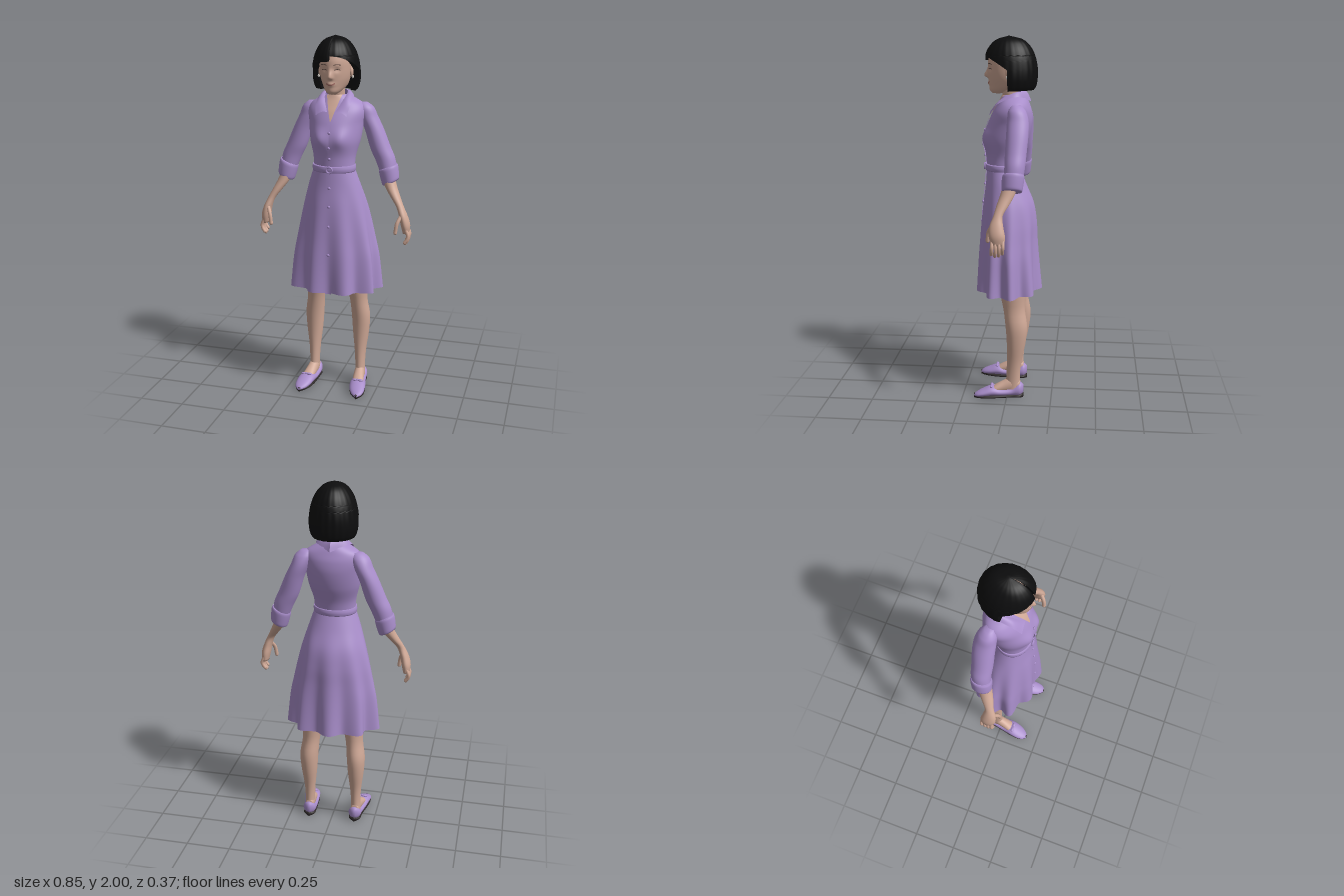
import * as THREE from 'three';
import { mergeGeometries, mergeVertices } from 'three/addons/utils/BufferGeometryUtils.js';

const paint = (name, color, side = THREE.FrontSide) => {
  const m = new THREE.MeshStandardMaterial({ color, side });
  m.name = name;
  return m;
};

// Smooth grid surface from f(u, v) -> [x, y, z]
function surface(nu, nv, f) {
  const pos = [], idx = [], w = nu + 1;
  for (let j = 0; j <= nv; j++) for (let i = 0; i <= nu; i++) pos.push(...f(i / nu, j / nv));
  for (let j = 0; j < nv; j++) for (let i = 0; i < nu; i++) {
    const a = j * w + i;
    idx.push(a, a + 1, a + w, a + 1, a + w + 1, a + w);
  }
  let g = new THREE.BufferGeometry();
  g.setAttribute('position', new THREE.Float32BufferAttribute(pos, 3));
  g.setIndex(idx);
  g = mergeVertices(g, 1e-5);
  g.computeVertexNormals();
  return g;
}

// Cross-sections are [y, centre x, centre z, half width, front z, back z, tilt], smoothly interpolated
function sample(R, y) {
  let i = 0;
  while (i < R.length - 2 && y > R[i + 1][0]) i++;
  const a = R[i], b = R[i + 1], h = b[0] - a[0];
  const t = Math.min(1, Math.max(0, (y - a[0]) / h)), t2 = t * t, t3 = t2 * t;
  const val = (r, k) => r[k] ?? 0;
  const slope = (n, k) => {
    const p = R[Math.max(0, n - 1)], q = R[Math.min(R.length - 1, n + 1)];
    return (val(q, k) - val(p, k)) / (q[0] - p[0]);
  };
  return [0, 1, 2, 3, 4, 5, 6].map(k => (2 * t3 - 3 * t2 + 1) * val(a, k) + (3 * t2 - 2 * t3) * val(b, k)
    + h * ((t3 - 2 * t2 + t) * slope(i, k) + (t3 - t2) * slope(i + 1, k)));
}
function ringPoint(R, y, ang, k = 1) {
  const [, cx, cz, rx, zf, zb, tilt] = sample(R, y), s = Math.sin(ang), c = Math.cos(ang);
  return [cx + k * rx * s, y + tilt * rx * s * k, cz + k * c * (c > 0 ? zf - cz : cz - zb)];
}
function loft(R, { nu = 32, nv = 32, capped = true, point = (y, a) => ringPoint(R, y, a) } = {}) {
  const y0 = R[0][0], y1 = R[R.length - 1][0];
  return surface(nu, nv + 2, (u, v) => {
    const j = Math.round(v * (nv + 2));
    const y = y0 + (y1 - y0) * Math.min(1, Math.max(0, (j - 1) / nv));
    return capped && (j === 0 || j === nv + 2) ? ringPoint(R, y, 0, 0) : point(y, u * Math.PI * 2);
  });
}
// Loft running along z; rows are [z, centre x, half width, bottom, top]
const loftZ = rows => loft(rows.map(([z, cx, hw, b, t]) => [z, cx, -(b + t) / 2, hw, -b, -t])).rotateX(Math.PI / 2);

// Thin patch lying on the front of a lofted surface
function patch(R, point, y0, y1, xa, xb, off = 0.003, bow = 0) {
  return surface(10, 24, (u, v) => {
    const y = y0 + (y1 - y0) * v + bow * 4 * u * (1 - u);
    const x = xa(v) + (xb(v) - xa(v)) * u;
    const p = point(y, Math.asin(Math.max(-1, Math.min(1, x / sample(R, y)[3]))));
    return [p[0], p[1], p[2] + off];
  });
}
function mirrored(g) {
  const m = g.clone().scale(-1, 1, 1), a = m.index.array;
  for (let i = 0; i < a.length; i += 3) [a[i], a[i + 1]] = [a[i + 1], a[i]];
  return m;
}
function tube(points, r) {
  const path = new THREE.CatmullRomCurve3(points.map(p => new THREE.Vector3(...p)));
  const ball = q => new THREE.SphereGeometry(r, 10, 8).translate(...q);
  return mergeGeometries([new THREE.TubeGeometry(path, 10, r, 10), ball(points[0]), ball(points[points.length - 1])]);
}
const blob = (x, y, z, sx, sy, sz) => new THREE.SphereGeometry(1, 16, 12).scale(sx, sy, sz).translate(x, y, z);
const bump = (d, w) => Math.exp(-((d / w) ** 2));

export function createModel() {
  const model = new THREE.Group();
  const dress = paint('lilac cloth', 0xa98ecb, THREE.DoubleSide), skin = paint('skin', 0xcfa896, THREE.DoubleSide);
  const hairMat = paint('black hair', 0x0d0d0e, THREE.DoubleSide), soleMat = paint('dark sole', 0x2f2a2a);
  const lipMat = paint('lips', 0xa9736a, THREE.DoubleSide), lashMat = paint('lashes', 0x5a4640, THREE.DoubleSide);
  const pearl = paint('earring', 0xd6d2cc);
  const add = (name, g, m) => {
    const mesh = new THREE.Mesh(g, m);
    mesh.name = name;
    model.add(mesh);
  };
  const pair = (name, g, m) => { add('left ' + name, g, m); add('right ' + name, mirrored(g), m); };

  // Bodice
  const torso = [[1.28, 0, 0.03, 0.112, 0.12, -0.06], [1.36, 0, 0.02, 0.116, 0.125, -0.075],
    [1.45, 0, 0, 0.138, 0.136, -0.108], [1.54, 0, -0.02, 0.15, 0.112, -0.126], [1.6, 0, -0.03, 0.158, 0.085, -0.124],
    [1.64, 0, -0.04, 0.142, 0.06, -0.112], [1.67, 0, -0.035, 0.095, 0.042, -0.1], [1.69, 0, -0.03, 0.056, 0.033, -0.085]];
  const torsoPoint = (y, a) => {
    const p = ringPoint(torso, y, a);
    if (Math.cos(a) > 0) p[2] += 0.017 * bump(y - 1.465, 0.05) * bump(Math.abs(p[0]) - 0.062, 0.04);
    return p;
  };
  add('bodice', loft(torso, { nu: 64, nv: 48, capped: false, point: torsoPoint }), dress);
  add('neckline skin', patch(torso, torsoPoint, 1.55, 1.69, v => -0.042 * v, v => 0.042 * v, 0.004), skin);
  add('bodice placket', patch(torso, torsoPoint, 1.29, 1.56, () => -0.016, () => 0.016, 0.005), dress);

  // Shirt collar, one half spread between its neck edge and outer edge
  const curve = pts => new THREE.CatmullRomCurve3(pts.map(p => new THREE.Vector3(...p)));
  const inner = curve([[0.022, 1.605, 0.092], [0.05, 1.665, 0.035], [0.055, 1.705, -0.04], [0, 1.712, -0.088]]);
  const outer = curve([[0.085, 1.585, 0.098], [0.095, 1.647, 0.05], [0.086, 1.683, -0.05], [0, 1.655, -0.12]]);
  pair('collar', surface(30, 8, (u, v) => {
    const p = inner.getPoint(u).lerp(outer.getPoint(u), 1 - v);
    return [p.x, p.y + 0.01 * Math.sin(Math.PI * v), p.z];
  }), dress);

  // Pleated skirt
  const skirt = [[0.61, 0, 0, 0.247, 0.166, -0.17], [0.8, 0, 0, 0.234, 0.16, -0.158], [0.9, 0, 0, 0.217, 0.155, -0.153],
    [1, 0, 0, 0.198, 0.149, -0.15], [1.1, 0, 0.005, 0.175, 0.14, -0.135], [1.2, 0, 0.02, 0.145, 0.127, -0.095],
    [1.295, 0, 0.03, 0.113, 0.12, -0.06]];
  const skirtPoint = (y, a) => {
    const k = 0.1 * Math.max(0, (1.22 - y) / 0.61) ** 1.2;
    return ringPoint(skirt, y, a, 1 - k * Math.cos(9 * a));
  };
  add('skirt', loft(skirt, { nu: 144, nv: 36, capped: false, point: skirtPoint }), dress);
  add('skirt placket', patch(skirt, skirtPoint, 0.605, 1.29, () => -0.018, () => 0.018, 0.006), dress);
  for (const y of [1.5, 1.42, 1.36, 1.2, 1.1, 0.99, 0.83]) {
    const z = (y > 1.29 ? torsoPoint : skirtPoint)(y, 0)[2];
    add('button', blob(0, y, z + 0.007, 0.008, 0.008, 0.005), dress);
  }

  // Belt with buckle
  add('belt', loft([[1.282, 0, 0.03, 0.117, 0.127, -0.067], [1.3, 0, 0.03, 0.12, 0.13, -0.07],
    [1.318, 0, 0.03, 0.117, 0.127, -0.067]], { nu: 48, nv: 6 }), dress);
  add('buckle', new THREE.TorusGeometry(0.016, 0.005, 8, 20).translate(0, 1.3, 0.133), dress);

  // Sleeves, cuffs, forearms and hands
  pair('sleeve', loft([[1.28, 0.284, -0.047, 0.045, 0.003, -0.1, 0.3], [1.34, 0.265, -0.053, 0.052, 0, -0.108, 0.2],
    [1.4, 0.237, -0.056, 0.055, 0, -0.113, 0.1], [1.5, 0.2, -0.06, 0.052, -0.003, -0.12], [1.57, 0.168, -0.058, 0.05, -0.005, -0.118],
    [1.62, 0.148, -0.053, 0.048, -0.01, -0.1], [1.645, 0.137, -0.05, 0.028, -0.03, -0.075]]), dress);
  pair('cuff', loft([[1.215, 0.3, -0.043, 0.042, 0.009, -0.094, 0.45], [1.225, 0.298, -0.043, 0.046, 0.012, -0.098, 0.45],
    [1.29, 0.284, -0.048, 0.051, 0.01, -0.106, 0.4], [1.302, 0.281, -0.049, 0.047, 0.004, -0.102, 0.4]], { nv: 12 }), dress);
  pair('forearm and palm', loft([[0.955, 0.403, 0.022, 0.018, 0.055, -0.013], [1, 0.399, 0.025, 0.025, 0.068, -0.016],
    [1.05, 0.387, 0.03, 0.023, 0.066, -0.006], [1.1, 0.366, 0.024, 0.021, 0.048, -0.001], [1.15, 0.335, 0.005, 0.027, 0.034, -0.03],
    [1.2, 0.306, -0.015, 0.033, 0.018, -0.058], [1.27, 0.28, -0.04, 0.035, 0, -0.08]]), skin);
  for (let i = 0; i < 4; i++) {
    const z = -0.006 + 0.019 * i, drop = [0.012, 0, -0.003, 0.006][i];
    pair('finger', tube([[0.402, 0.985, z], [0.418, 0.945, z], [0.414, 0.918 + drop, z + 0.002], [0.402, 0.9 + drop, z + 0.004]], 0.0092), skin);
  }
  pair('thumb', tube([[0.38, 1.055, 0.05], [0.362, 1.015, 0.073], [0.354, 0.965, 0.079]], 0.0105), skin);

  // Legs and feet
  pair('leg', loft([[0.03, 0.14, -0.035, 0.028, 0.01, -0.078], [0.1, 0.138, -0.036, 0.027, 0.004, -0.073],
    [0.2, 0.137, -0.042, 0.032, 0, -0.08], [0.32, 0.138, -0.048, 0.046, 0, -0.104], [0.42, 0.137, -0.048, 0.052, 0.007, -0.114],
    [0.52, 0.126, -0.037, 0.049, 0.02, -0.1], [0.62, 0.118, -0.03, 0.06, 0.04, -0.105], [0.95, 0.1, -0.02, 0.075, 0.06, -0.11]]), skin);
  const shoe = [[-0.093, 0.137, 0.012, 0.03, 0.075], [-0.075, 0.137, 0.034, 0.012, 0.09], [-0.03, 0.138, 0.037, 0.012, 0.062],
    [0.03, 0.145, 0.042, 0.012, 0.058], [0.08, 0.152, 0.046, 0.012, 0.07], [0.13, 0.16, 0.042, 0.01, 0.052],
    [0.165, 0.166, 0.028, 0.008, 0.035], [0.183, 0.168, 0.008, 0.01, 0.022]];
  pair('shoe', loftZ(shoe), dress);
  pair('sole', loftZ(shoe.map(([z, cx, hw]) => [z, cx, hw * 0.96, 0, 0.026])), soleMat);
  pair('foot', loftZ([[-0.075, 0.137, 0.022, 0.03, 0.1], [-0.03, 0.138, 0.028, 0.03, 0.12], [0.02, 0.143, 0.031, 0.03, 0.098],
    [0.06, 0.149, 0.032, 0.03, 0.076], [0.1, 0.155, 0.028, 0.03, 0.05]]), skin);
  pair('shoe bow', mergeGeometries([blob(0.137, 0.07, 0.084, 0.015, 0.007, 0.009), blob(0.169, 0.07, 0.084, 0.015, 0.007, 0.009),
    blob(0.153, 0.072, 0.085, 0.006, 0.006, 0.006)]), dress);

  // Neck and head
  add('neck', loft([[1.58, 0, -0.03, 0.052, 0.02, -0.08], [1.68, 0, -0.015, 0.045, 0.034, -0.07], [1.76, 0, 0, 0.046, 0.05, -0.065]]), skin);
  const head = [[1.697, 0, 0.06, 0.02, 0.088, 0.03], [1.712, 0, 0.04, 0.04, 0.103, -0.02], [1.74, 0, 0, 0.063, 0.106, -0.06],
    [1.78, 0, 0, 0.077, 0.109, -0.09], [1.83, 0, 0, 0.084, 0.112, -0.11], [1.88, 0, 0, 0.085, 0.11, -0.12],
    [1.93, 0, 0, 0.075, 0.09, -0.11], [1.97, 0, 0, 0.045, 0.05, -0.07]];
  const headPoint = (y, a) => {
    const p = ringPoint(head, y, a), x = p[0];
    if (Math.cos(a) > 0) {
      p[2] += 0.024 * bump(x, 0.013) * bump(y - 1.79, y < 1.79 ? 0.011 : 0.03)
        + 0.006 * bump(x, 0.022) * bump(y - 1.752, 0.012) - 0.007 * bump(Math.abs(x) - 0.034, 0.016) * bump(y - 1.828, 0.014);
    }
    return p;
  };
  add('head', loft(head, { nu: 96, nv: 72, point: headPoint }), skin);
  pair('eyelash', patch(head, headPoint, 1.824, 1.828, () => 0.02, () => 0.05, 0.002, 0.004), lashMat);
  pair('eyebrow', patch(head, headPoint, 1.849, 1.853, () => 0.018, () => 0.054, 0.002, 0.005), lashMat);
  add('mouth', patch(head, headPoint, 1.755, 1.763, () => -0.025, () => 0.025, 0.002, -0.01), lipMat);
  pair('ear', blob(0.086, 1.81, -0.003, 0.01, 0.026, 0.015), skin);
  pair('earring', blob(0.094, 1.785, 0.002, 0.006, 0.009, 0.006), pearl);

  // Bobbed hair: a thick shell, open around the face and swept to one side
  const hair = [[1.712, 0, -0.01, 0.11, 0.09, -0.13], [1.735, 0, -0.01, 0.122, 0.1, -0.145], [1.78, 0, -0.01, 0.13, 0.115, -0.153],
    [1.84, 0, -0.01, 0.126, 0.126, -0.152], [1.9, 0, -0.008, 0.112, 0.126, -0.138], [1.95, 0, -0.004, 0.086, 0.1, -0.11],
    [1.983, 0, 0, 0.05, 0.06, -0.068], [2, 0, 0, 0, 0, 0]];
  const opening = (y, top, drop) => 1.5 * Math.sqrt(Math.min(1, Math.max(0, (top - y) / drop)));
  add('hair', surface(160, 72, (u, v) => {
    const y = 1.712 + 0.288 * v, a = opening(y, 1.9, 0.075), b = Math.PI * 2 - opening(y, 1.872, 0.05);
    const ang = u < 0.5 ? a + (b - a) * u * 2 : b - (b - a) * (u * 2 - 1);
    const k = u < 0.5 && v > 0 ? 1 + 0.008 * Math.cos(ang * 22) : 0.72;
    return ringPoint(hair, y, u === 1 ? a : ang, u === 1 ? 1 : k);
  }), hairMat);

  return model;
}
